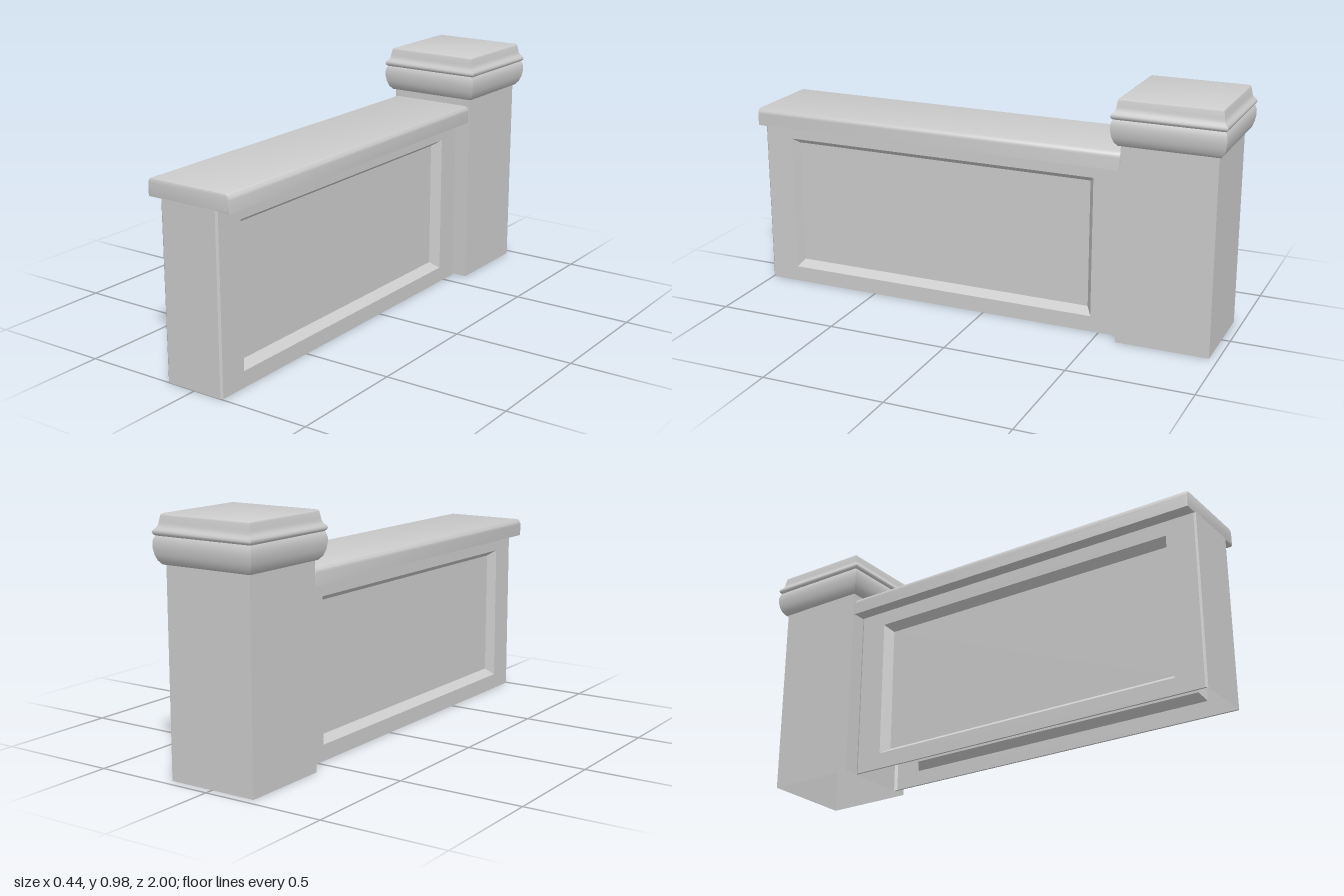
import * as THREE from 'three';
import { toCreasedNormals } from 'three/addons/utils/BufferGeometryUtils.js';

const material = new THREE.MeshStandardMaterial({ color: 0xcccccc, side: THREE.DoubleSide });
const POST_Z = -0.778;

function part(name, geometry) {
  const mesh = new THREE.Mesh(geometry, material);
  mesh.name = name;
  return mesh;
}

// Square sweep of a [half width, height] profile, with mitred corners
function squareLathe(profile) {
  const points = profile.map(([r, y]) => new THREE.Vector2(r * Math.SQRT2, y));
  const geometry = new THREE.LatheGeometry(points, 4, Math.PI / 4);
  geometry.translate(0, 0, POST_Z);
  return toCreasedNormals(geometry, 0.9);
}

// Side of the wall: nested rectangles stepping in to a sunken panel
function wallSide(sign) {
  const rings = [ // x, front z, back z, bottom, top
    [0.122, 1, -0.588, 0, 0.705],
    [0.13, 0.993, -0.577, 0, 0.705],
    [0.13, 0.875, -0.465, 0.065, 0.64],
    [0.092, 0.858, -0.44, 0.09, 0.615],
  ].map(([x, zf, zb, y0, y1]) =>
    [[zf, y0], [zb, y0], [zb, y1], [zf, y1]].map(([z, y]) => [sign * x, y, z]));
  const positions = [];
  const quad = (a, b, c, d) => {
    const corners = sign > 0 ? [a, b, c, a, c, d] : [a, c, b, a, d, c];
    positions.push(...corners.flat());
  };
  for (let r = 0; r < rings.length - 1; r++) {
    for (let i = 0; i < 4; i++) {
      const j = (i + 1) % 4;
      quad(rings[r][i], rings[r][j], rings[r + 1][j], rings[r + 1][i]);
    }
  }
  quad(...rings[rings.length - 1]);
  const geometry = new THREE.BufferGeometry();
  geometry.setAttribute('position', new THREE.Float32BufferAttribute(positions, 3));
  geometry.computeVertexNormals();
  return geometry;
}

// Overhanging rail with rounded upper edges
function railGeometry() {
  const w = 0.179, y0 = 0.708, y1 = 0.764, r = 0.016, bevel = 0.008;
  const shape = new THREE.Shape();
  shape.moveTo(-w, y0);
  shape.lineTo(w, y0);
  shape.lineTo(w, y1 - r);
  shape.quadraticCurveTo(w, y1, w - r, y1);
  shape.lineTo(-w + r, y1);
  shape.quadraticCurveTo(-w, y1, -w, y1 - r);
  shape.closePath();
  const geometry = new THREE.ExtrudeGeometry(shape, {
    depth: 1.588 - 2 * bevel, curveSegments: 6,
    bevelEnabled: true, bevelSize: bevel, bevelThickness: bevel, bevelSegments: 2,
  });
  geometry.translate(0, 0, -0.588 + bevel);
  return toCreasedNormals(geometry, 0.7);
}

export function createModel() {
  const group = new THREE.Group();
  group.name = 'wallWithPost';

  // Low wall, open underneath
  const wall = new THREE.Group();
  wall.name = 'wall';
  wall.add(part('leftPanel', wallSide(1)), part('rightPanel', wallSide(-1)));
  const front = new THREE.PlaneGeometry(0.244, 0.705);
  front.translate(0, 0.3525, 1);
  wall.add(part('frontEnd', front), part('rail', railGeometry()));
  group.add(wall);

  // Square post, open underneath
  group.add(part('post', squareLathe([[0.188, 0], [0.188, 0.802]])));

  // Moulded cap: bulge, groove, bead and tapered block
  group.add(part('postCap', squareLathe([
    [0.186, 0.8], [0.197, 0.8], [0.209, 0.815], [0.217, 0.837], [0.221, 0.862],
    [0.221, 0.882], [0.217, 0.897], [0.213, 0.904], [0.219, 0.909], [0.222, 0.916],
    [0.219, 0.924], [0.211, 0.932], [0.206, 0.941], [0.204, 0.952],
    [0.2, 0.974], [0.198, 0.98], [0.192, 0.983], [0, 0.984],
  ])));

  return group;
}
